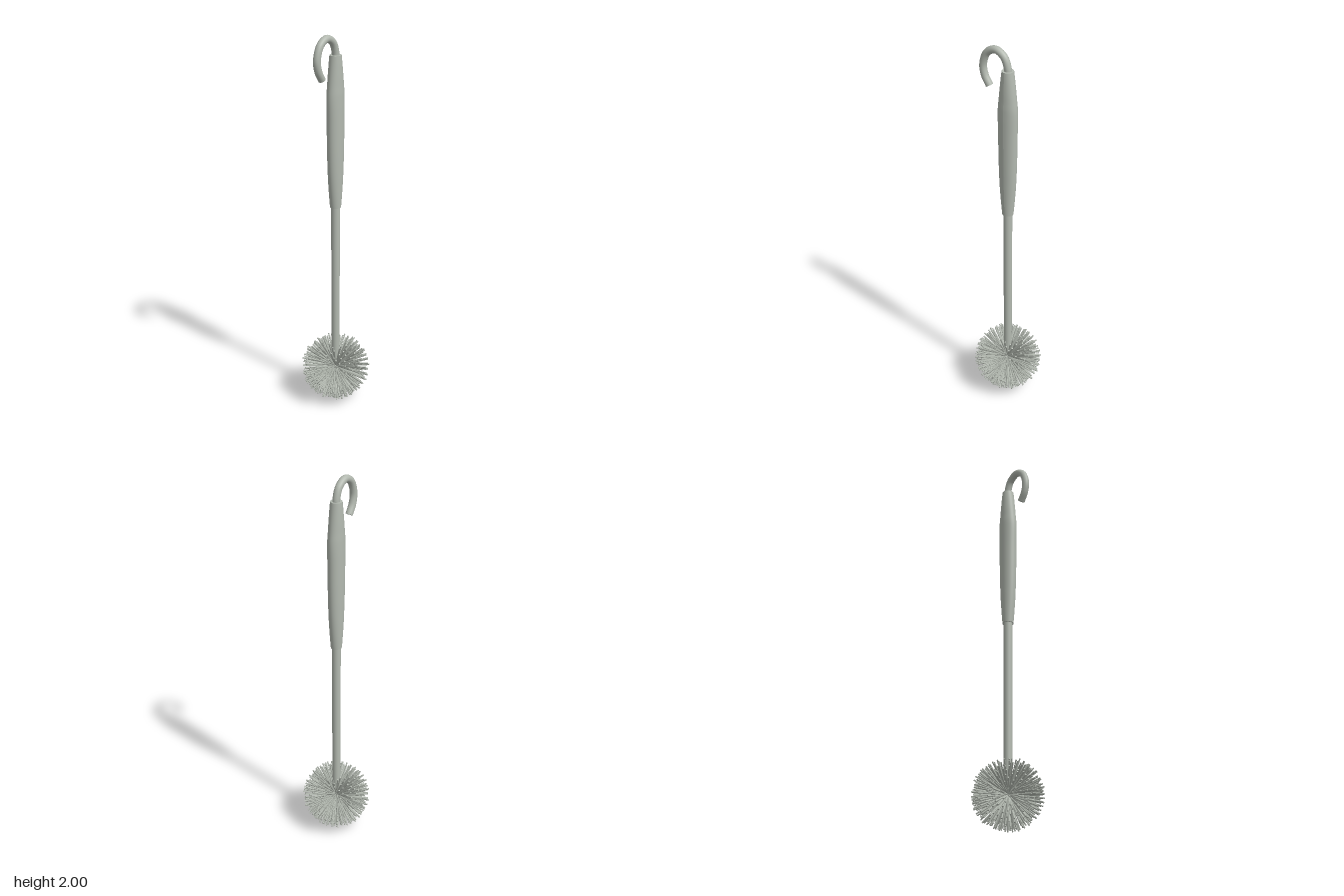
import * as THREE from 'three';
import { mergeGeometries } from 'three/addons/utils/BufferGeometryUtils.js';

export function createModel() {
  const model = new THREE.Group();
  const grey = new THREE.MeshStandardMaterial({ color: 0xb3b9b0 });
  grey.name = 'pale grey';
  const add = (name, geometry) => {
    const mesh = new THREE.Mesh(geometry, grey);
    mesh.name = name;
    model.add(mesh);
    return mesh;
  };

  // Slim shaft, running from the bristle ball up into the grip
  const shaft = add('shaft', new THREE.CylinderGeometry(0.023, 0.021, 0.95, 24));
  shaft.position.y = 0.655;

  // Oval grip: rows of height, half width and half depth
  const rows = [
    [1.1, 0.029, 0.028], [1.2, 0.039, 0.033], [1.3, 0.046, 0.036], [1.42, 0.050, 0.038],
    [1.55, 0.052, 0.039], [1.67, 0.054, 0.039], [1.74, 0.048, 0.037], [1.82, 0.039, 0.034],
    [1.89, 0.030, 0.030],
  ];
  const curve = new THREE.SplineCurve(rows.map(([y, w]) => new THREE.Vector2(w, y)));
  const profile = curve.getPoints(32);
  const depth = (y) => {
    const i = Math.min(rows.length - 2, Math.max(0, rows.findIndex((r) => r[0] > y) - 1));
    const a = rows[i], b = rows[i + 1];
    return THREE.MathUtils.mapLinear(y, a[0], b[0], a[2] / a[1], b[2] / b[1]);
  };
  const grip = new THREE.LatheGeometry(profile, 32);
  const p = grip.attributes.position;
  for (let i = 0; i < p.count; i++) {
    const y = p.getY(i);
    p.setZ(i, p.getZ(i) * (y > 1.889 ? 1 : depth(y)));
  }
  grip.computeVertexNormals();
  add('grip', grip);
  const gripTop = add('gripTop', new THREE.CircleGeometry(0.03, 32));
  gripTop.rotation.x = -Math.PI / 2;
  gripTop.position.y = 1.89;
  const gripBase = add('gripBase', new THREE.CircleGeometry(0.029, 32));
  gripBase.rotation.x = Math.PI / 2;
  gripBase.position.y = 1.1;

  // Hanging hook curling to the side
  const path = new THREE.CatmullRomCurve3([
    [0.002, 1.86], [-0.001, 1.905], [-0.022, 1.955], [-0.07, 1.981], [-0.12, 1.956],
    [-0.145, 1.89], [-0.136, 1.835], [-0.108, 1.787],
  ].map(([x, y]) => new THREE.Vector3(x, y, 0)));
  add('hook', new THREE.TubeGeometry(path, 48, 0.019, 16));
  const tip = add('hookTip', new THREE.CircleGeometry(0.019, 16));
  tip.position.copy(path.getPoint(1));
  tip.quaternion.setFromUnitVectors(new THREE.Vector3(0, 0, 1), path.getTangent(1));

  // Ball of bristles radiating from the shaft's end, open around the shaft
  let seed = 7;
  const random = () => (seed = (seed * 16807) % 2147483647) / 2147483647;
  const up = new THREE.Vector3(0, 1, 0);
  const centre = new THREE.Vector3(0, 0.182, 0);
  const bristles = [];
  const count = 520;
  for (let i = 0; i < count; i++) {
    const y = -1 + (1.92 * i) / (count - 1);
    const turn = i * 2.39996 + (random() - 0.5) * 0.12;
    const r = Math.sqrt(1 - y * y);
    const direction = new THREE.Vector3(r * Math.cos(turn), y, r * Math.sin(turn));
    const length = i === 0 ? 0.182 : 0.166 + random() * 0.018;
    const bristle = new THREE.CylinderGeometry(0.0038, 0.0038, length, 6);
    bristle.translate(0, length / 2, 0);
    bristle.applyQuaternion(new THREE.Quaternion().setFromUnitVectors(up, direction));
    bristle.translate(centre.x, centre.y, centre.z);
    bristles.push(bristle);
  }
  add('bristles', mergeGeometries(bristles));

  return model;
}
